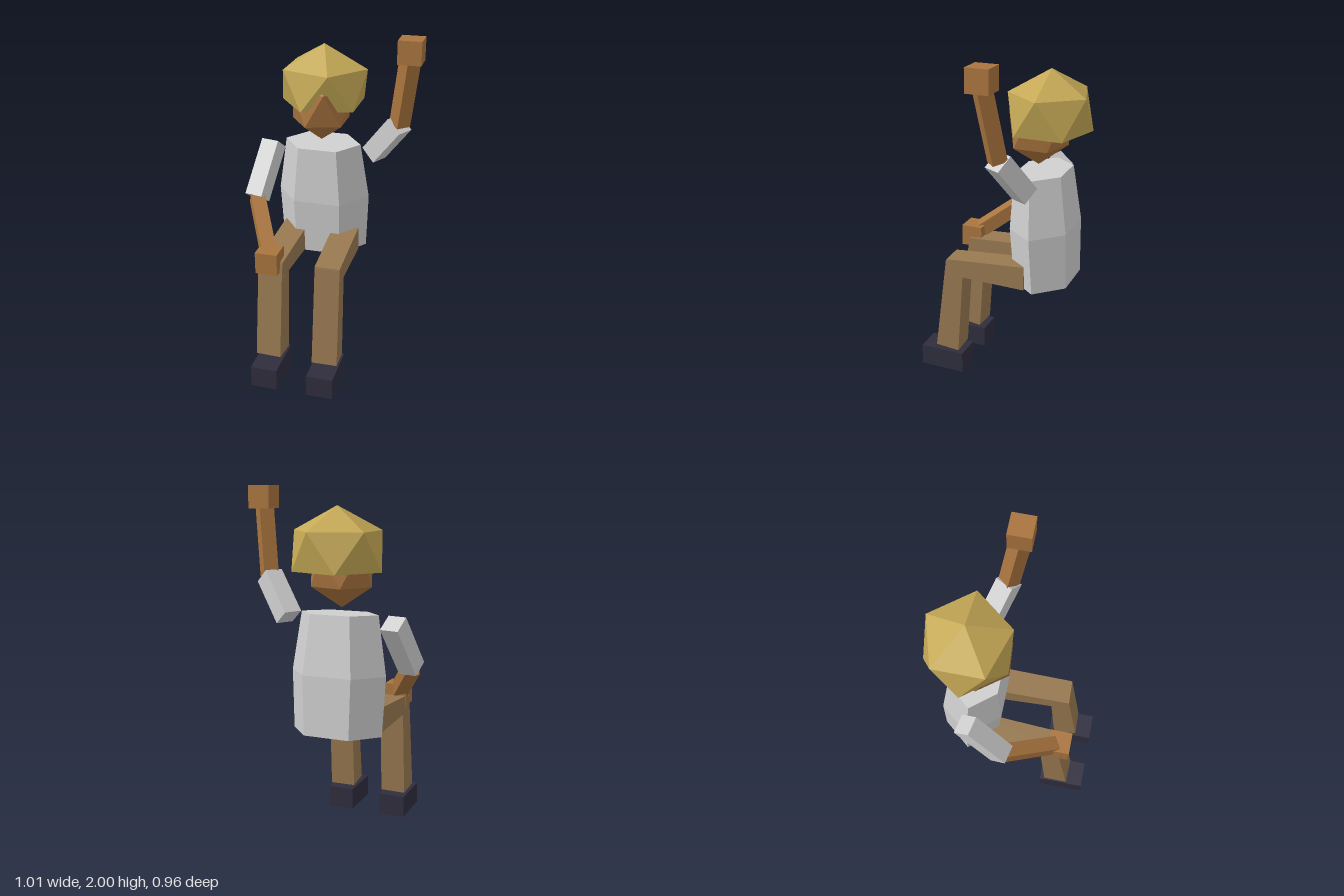
import * as THREE from 'three';

const mat = (name, color) => {
  const m = new THREE.MeshStandardMaterial({ color, flatShading: true });
  m.name = name;
  return m;
};

const BODY_X = -0.09; // centre line of the figure

export function createModel() {
  const group = new THREE.Group();
  const shirt = mat('shirt grey', 0xcfcfcf);
  const skin = mat('skin brown', 0xa9743e);
  const trousers = mat('trouser brown', 0x977850);
  const hair = mat('hair gold', 0xc4a855);
  const shoes = mat('shoe navy', 0x2f2d3d);

  const add = (name, geometry, material, pos = [0, 0, 0]) => {
    const mesh = new THREE.Mesh(geometry, material);
    mesh.name = name;
    mesh.position.set(...pos);
    group.add(mesh);
    return mesh;
  };

  // Four-sided limb from a to b, width kept horizontal; sizes are [width, depth]
  const limb = (name, material, a, b, sizeA, sizeB = sizeA) => {
    const start = new THREE.Vector3(...a), end = new THREE.Vector3(...b);
    const dir = end.clone().sub(start);
    const geo = new THREE.BoxGeometry(1, dir.length(), 1);
    const p = geo.attributes.position;
    for (let i = 0; i < p.count; i++) {
      const s = p.getY(i) < 0 ? sizeA : sizeB;
      p.setX(i, p.getX(i) * s[0]);
      p.setZ(i, p.getZ(i) * s[1]);
    }
    dir.normalize();
    const side = new THREE.Vector3(dir.z, 0, -dir.x).normalize();
    const depth = side.clone().cross(dir);
    const mesh = add(name, geo, material, start.add(end).multiplyScalar(0.5).toArray());
    mesh.quaternion.setFromRotationMatrix(new THREE.Matrix4().makeBasis(side, dir, depth));
  };

  // Icosahedron standing on a corner, with an optional raised lowest corner
  const gem = (rx, ry, rz, lowest = -1) => {
    const geo = new THREE.IcosahedronGeometry(1, 0);
    geo.rotateX(-Math.atan((1 + Math.sqrt(5)) / 2)).rotateY(Math.PI / 2);
    const p = geo.attributes.position;
    for (let i = 0; i < p.count; i++) p.setY(i, Math.max(p.getY(i), lowest));
    return geo.scale(rx, ry, rz);
  };

  // Head and hair
  add('head', gem(0.196, 0.215, 0.188), skin, [BODY_X, 1.558, -0.19]);
  add('hair', gem(0.285, 0.24, 0.265, -0.52), hair, [BODY_X, 1.657, -0.255]);

  // Six-sided torso, leaning slightly forward
  const profile = [[0, -0.337], [0.265, -0.337], [0.28, 0], [0.228, 0.332], [0, 0.332]]
    .map(([r, y]) => new THREE.Vector2(r, y));
  const torsoGeo = new THREE.LatheGeometry(profile, 6, Math.PI / 2).scale(1, 1, 0.7);
  add('torso', torsoGeo, shirt, [BODY_X, 0.985, -0.24]).rotation.x = 0.05;

  // Seated legs and shoes
  for (const [side, s] of [['left', 1], ['right', -1]]) {
    const x = (d) => BODY_X + s * d;
    limb(side + 'Thigh', trousers, [x(0.155), 0.718, -0.19], [x(0.167), 0.708, 0.292],
      [0.155, 0.145], [0.146, 0.1]);
    limb(side + 'Shin', trousers, [x(0.167), 0.748, 0.243], [x(0.169), 0.154, 0.303],
      [0.145, 0.112], [0.15, 0.146]);
    add(side + 'Shoe', new THREE.BoxGeometry(0.158, 0.13, 0.277), shoes, [x(0.169), 0.065, 0.338]);
  }

  // Arms: the left is raised, the right rests on the knee
  const arms = [
    { side: 'left', shoulder: [0.218, 1.275, -0.225], elbow: [0.38, 1.495, -0.138],
      wrist: [0.435, 1.885, -0.08], hand: [0.44, 1.935, -0.08] },
    { side: 'right', shoulder: [-0.4, 1.277, -0.225], elbow: [-0.443, 0.997, -0.02],
      wrist: [-0.275, 0.785, 0.272], hand: [-0.265, 0.765, 0.29] },
  ];
  for (const { side, shoulder, elbow, wrist, hand } of arms) {
    limb(side + 'Sleeve', shirt, shoulder, elbow, [0.11, 0.11]);
    limb(side + 'Forearm', skin, elbow, wrist, [0.085, 0.085]);
    add(side + 'Hand', new THREE.BoxGeometry(0.13, 0.13, 0.13), skin, hand);
  }

  return group;
}
